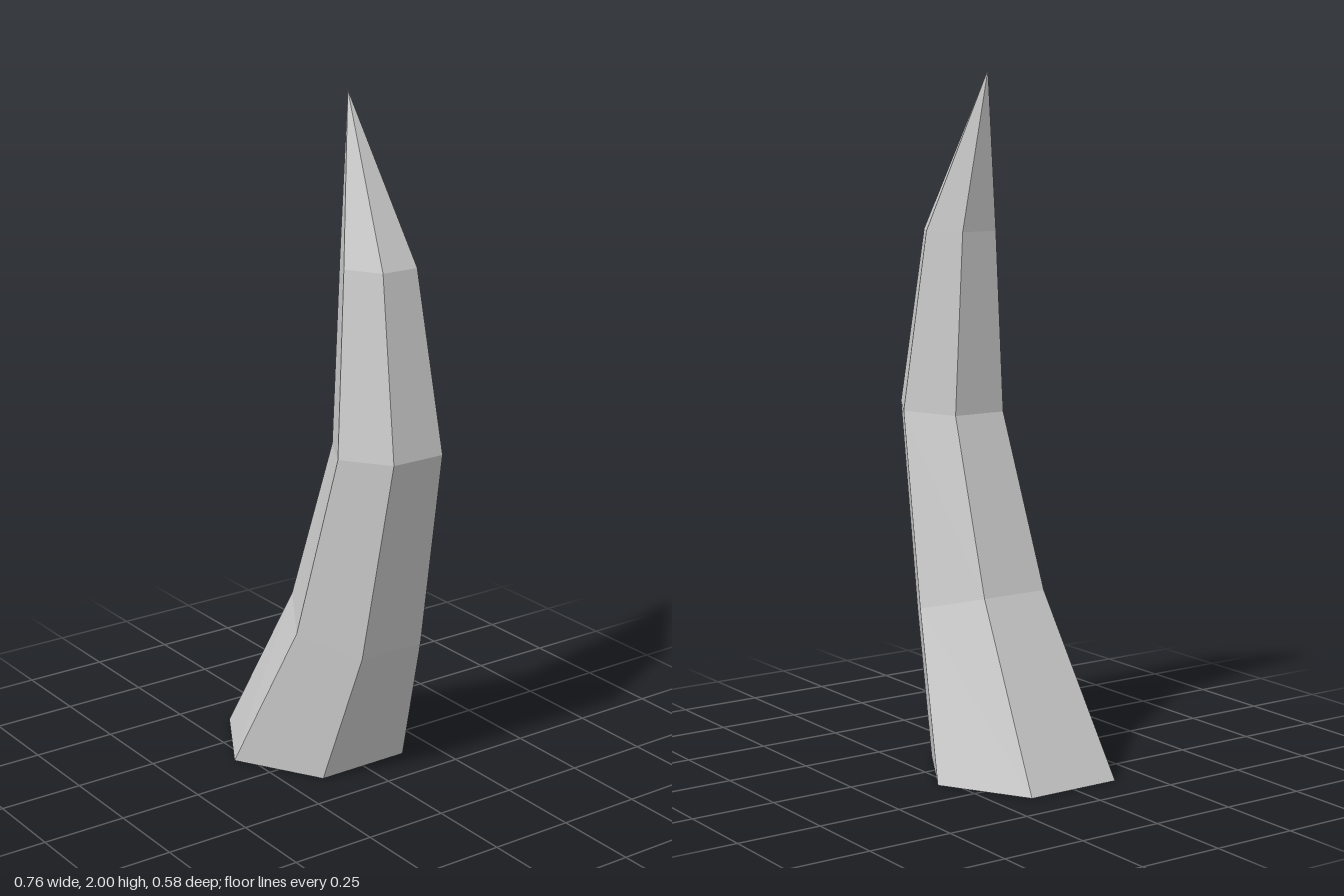
import * as THREE from 'three';

const SIDES = 6;

// Cross-sections from base to near the tip: centre x, centre y, radius, tilt about z
const RINGS = [
  { x: -0.127, y: 0, r: 0.291, tilt: 0 },
  { x: 0.085, y: 0.46, r: 0.209, tilt: -0.26 },
  { x: 0.231, y: 1.017, r: 0.168, tilt: 0.04 },
  { x: 0.186, y: 1.54, r: 0.116, tilt: 0 },
];
const TIP = [0.042, 2, 0];

function ringPoint({ x, y, r, tilt }, k) {
  const a = ((k % SIDES) + 0.5) * (Math.PI * 2 / SIDES);
  const d = r * Math.cos(a);
  return [x + d * Math.cos(tilt), y + d * Math.sin(tilt), r * Math.sin(a)];
}

function hornGeometry() {
  const positions = [];
  const tri = (a, b, c) => positions.push(...a, ...b, ...c);
  const base = RINGS[0];
  const last = RINGS[RINGS.length - 1];

  for (let k = 0; k < SIDES; k++) {
    // Flat base cap
    tri([base.x, base.y, 0], ringPoint(base, k), ringPoint(base, k + 1));
    // Curved, tapering side
    for (let i = 0; i < RINGS.length - 1; i++) {
      const a = ringPoint(RINGS[i], k), b = ringPoint(RINGS[i], k + 1);
      const c = ringPoint(RINGS[i + 1], k + 1), d = ringPoint(RINGS[i + 1], k);
      tri(a, d, c);
      tri(a, c, b);
    }
    // Pointed end
    tri(ringPoint(last, k), TIP, ringPoint(last, k + 1));
  }

  const geometry = new THREE.BufferGeometry();
  geometry.setAttribute('position', new THREE.Float32BufferAttribute(positions, 3));
  geometry.computeVertexNormals();
  return geometry;
}

export function createModel() {
  const group = new THREE.Group();
  const material = new THREE.MeshStandardMaterial({ color: 0xcccccc, flatShading: true });
  const horn = new THREE.Mesh(hornGeometry(), material);
  horn.name = 'horn';
  group.add(horn);
  return group;
}
